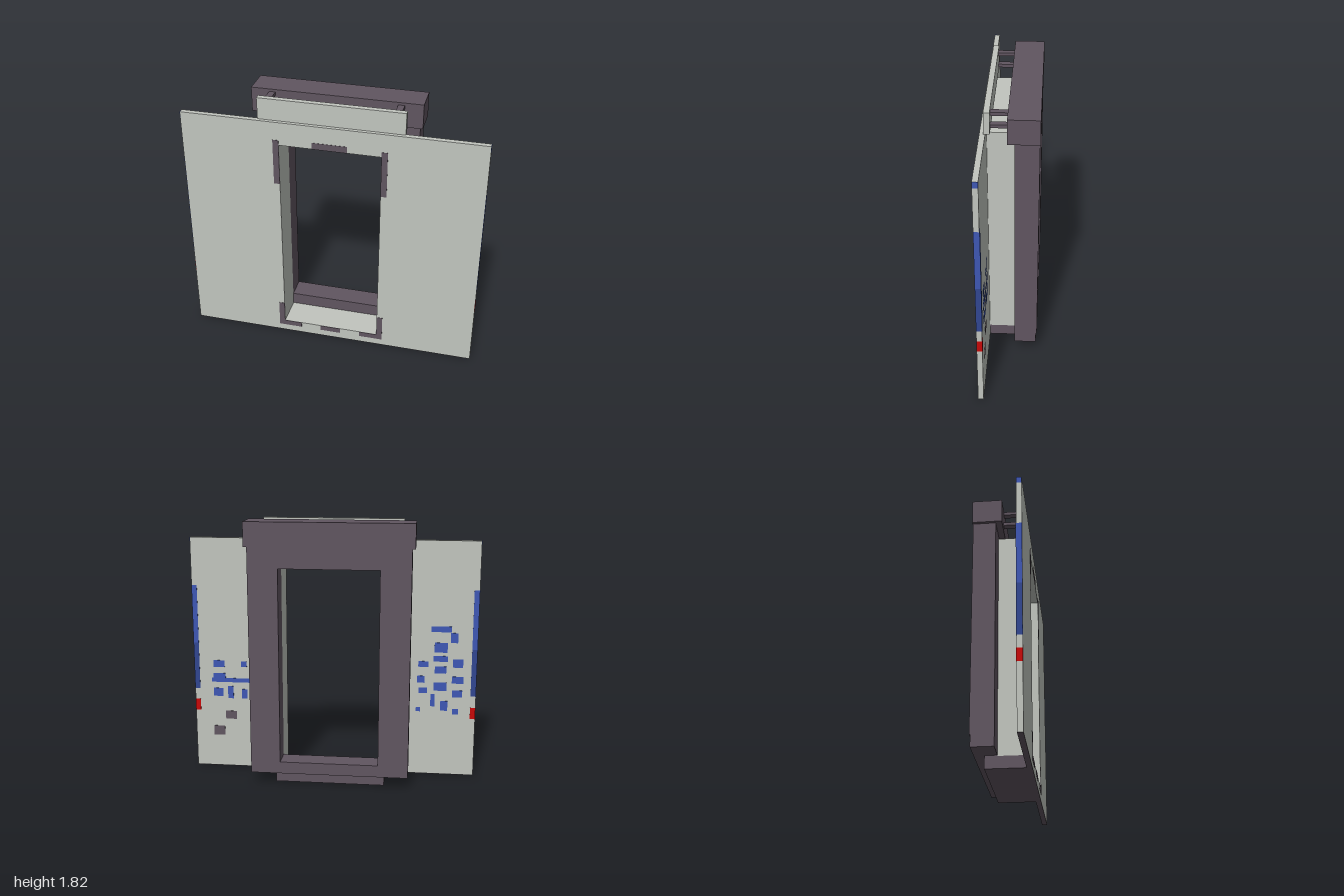
import * as THREE from 'three';

const mat = (name, color) => {
  const m = new THREE.MeshStandardMaterial({ color });
  m.name = name;
  return m;
};

export function createModel() {
  const model = new THREE.Group();
  model.name = 'doorway';
  const light = mat('pale grey', 0xc1c5be);
  const dark = mat('plum grey', 0x605560);
  const blue = mat('blue', 0x3e57b4);
  const navy = mat('deep blue', 0x314691);
  const red = mat('red', 0xc80808);

  // Box given by its limits on each axis
  const box = (name, material, x0, x1, y0, y1, z0, z1, parent = model) => {
    const mesh = new THREE.Mesh(new THREE.BoxGeometry(x1 - x0, y1 - y0, z1 - z0), material);
    mesh.position.set((x0 + x1) / 2, (y0 + y1) / 2, (z0 + z1) / 2);
    mesh.name = name;
    parent.add(mesh);
    return mesh;
  };

  // Rectangular slab with a rectangular opening
  const rectPoints = (x0, x1, y0, y1) =>
    [[x0, y0], [x1, y0], [x1, y1], [x0, y1]].map(([x, y]) => new THREE.Vector2(x, y));
  const ring = (name, material, outer, inner, z0, z1) => {
    const shape = new THREE.Shape(rectPoints(...outer));
    shape.holes.push(new THREE.Path(rectPoints(...inner).reverse()));
    const geometry = new THREE.ExtrudeGeometry(shape, { depth: z1 - z0, bevelEnabled: false });
    geometry.translate(0, 0, z0);
    const mesh = new THREE.Mesh(geometry, material);
    mesh.name = name;
    model.add(mesh);
  };

  const L = -0.34, R = 0.332, BACK = 0.147, FRONT = 0.183, FACE = 0.185;

  // Wall panel and the lining that runs back from its opening
  ring('wallPanel', light, [-0.998, 0.998, 0.002, 1.67], [L, R, 0.085, 1.51], BACK, FRONT);
  box('panelBottomEdge', dark, -0.998, 0.998, 0, 0.002, BACK, FRONT);
  ring('doorLining', light, [-0.38, 0.372, 0.08, 1.628], [L, R, 0.085, 1.51], -0.03, BACK);

  // Rear frame, sill, threshold and header
  ring('rearFrame', dark, [-0.545, 0.535, 0.165, 1.65], [L, R, 0.17, 1.51], -0.182, -0.03);
  box('rearSill', dark, -0.545, 0.535, 0.085, 0.168, -0.176, -0.03);
  box('threshold', dark, -0.38, 0.372, 0, 0.08, -0.11, BACK);
  box('thresholdTop', dark, -0.38, 0.372, 0.08, 0.085, -0.11, -0.03);
  box('header', dark, -0.565, 0.557, 1.65, 1.815, -0.185, 0.012);

  // Top board held off the header by four pegs
  box('topBoard', light, -0.482, 0.475, 1.67, 1.815, 0.12, 0.158);
  for (const x of [-0.424, 0.416])
    for (const y of [1.704, 1.787])
      box('boardPeg', dark, x - 0.021, x + 0.021, y - 0.011, y + 0.011, 0.01, 0.122);

  // Painted guard marks around the opening
  const marks = new THREE.Group();
  marks.name = 'frontMarks';
  model.add(marks);
  const mark = (x0, x1, y0, y1) => box('frontMark', dark, x0, x1, y0, y1, FRONT - 0.001, FACE, marks);
  mark(-0.38, L, 1.225, 1.545);
  mark(R, 0.372, 1.225, 1.545);
  mark(-0.12, 0.11, 1.51, 1.555);
  mark(-0.38, L, 0.085, 0.24);
  mark(R, 0.372, 0.085, 0.24);
  mark(-0.38, -0.217, 0.048, 0.085);
  mark(0.208, 0.372, 0.048, 0.085);
  mark(-0.076, 0.068, 0.048, 0.085);

  // Coloured bands on both side edges, wrapped onto the panel's back
  const bands = [
    ['upperBand', blue, 0.922, 1.335], ['lowerBand', navy, 0.585, 0.922], ['redBand', red, 0.42, 0.503],
  ];
  for (const side of [-1, 1]) {
    const span = (a, b) => (side > 0 ? [a, b] : [-b, -a]);
    for (const [name, m, y0, y1] of bands) {
      box(name + 'Edge', m, ...span(0.998, 1), y0, y1, BACK - 0.002, FRONT);
      box(name + 'Back', m, ...span(0.963, 0.998), y0, y1, BACK - 0.002, BACK);
    }
    box('topCornerEdge', blue, ...span(0.998, 1), 1.63, 1.67, BACK, FRONT);
    // plain stretches of the edge
    for (const [y0, y1] of [[0, 0.42], [0.503, 0.585], [1.335, 1.63]])
      box('plainEdge', light, ...span(0.998, 1), y0, y1, BACK, FRONT);
  }

  // Abstract patches on the panel's back: x, y, width, height
  const patches = new THREE.Group();
  patches.name = 'backPatches';
  model.add(patches);
  const patch = (m, [x, y, w, h]) =>
    box('backPatch', m, x - w / 2, x + w / 2, y - h / 2, y + h / 2, BACK - 0.002, BACK + 0.001, patches);
  [
    [-0.75, 1.06, 0.14, 0.04], [-0.84, 1.0, 0.05, 0.07], [-0.75, 0.93, 0.09, 0.07],
    [-0.63, 0.81, 0.07, 0.04], [-0.75, 0.85, 0.1, 0.04], [-0.87, 0.82, 0.07, 0.06],
    [-0.75, 0.77, 0.08, 0.05], [-0.615, 0.7, 0.05, 0.05], [-0.87, 0.7, 0.08, 0.05],
    [-0.75, 0.65, 0.09, 0.06], [-0.63, 0.62, 0.06, 0.04], [-0.87, 0.6, 0.07, 0.05],
    [-0.6, 0.48, 0.03, 0.03], [-0.7, 0.55, 0.03, 0.09], [-0.78, 0.51, 0.05, 0.07],
    [-0.86, 0.47, 0.04, 0.04],
    [0.82, 0.77, 0.08, 0.05], [0.82, 0.68, 0.09, 0.04], [0.83, 0.56, 0.07, 0.06],
    [0.74, 0.56, 0.04, 0.09], [0.71, 0.65, 0.33, 0.03], [0.64, 0.77, 0.04, 0.04],
    [0.56, 0.77, 0.04, 0.07], [0.56, 0.67, 0.04, 0.04], [0.64, 0.55, 0.04, 0.07],
    [0.56, 0.56, 0.04, 0.07],
  ].forEach((p) => patch(blue, p));
  [[0.83, 0.27, 0.08, 0.07], [0.74, 0.39, 0.08, 0.06]].forEach((p) => patch(dark, p));

  return model;
}
